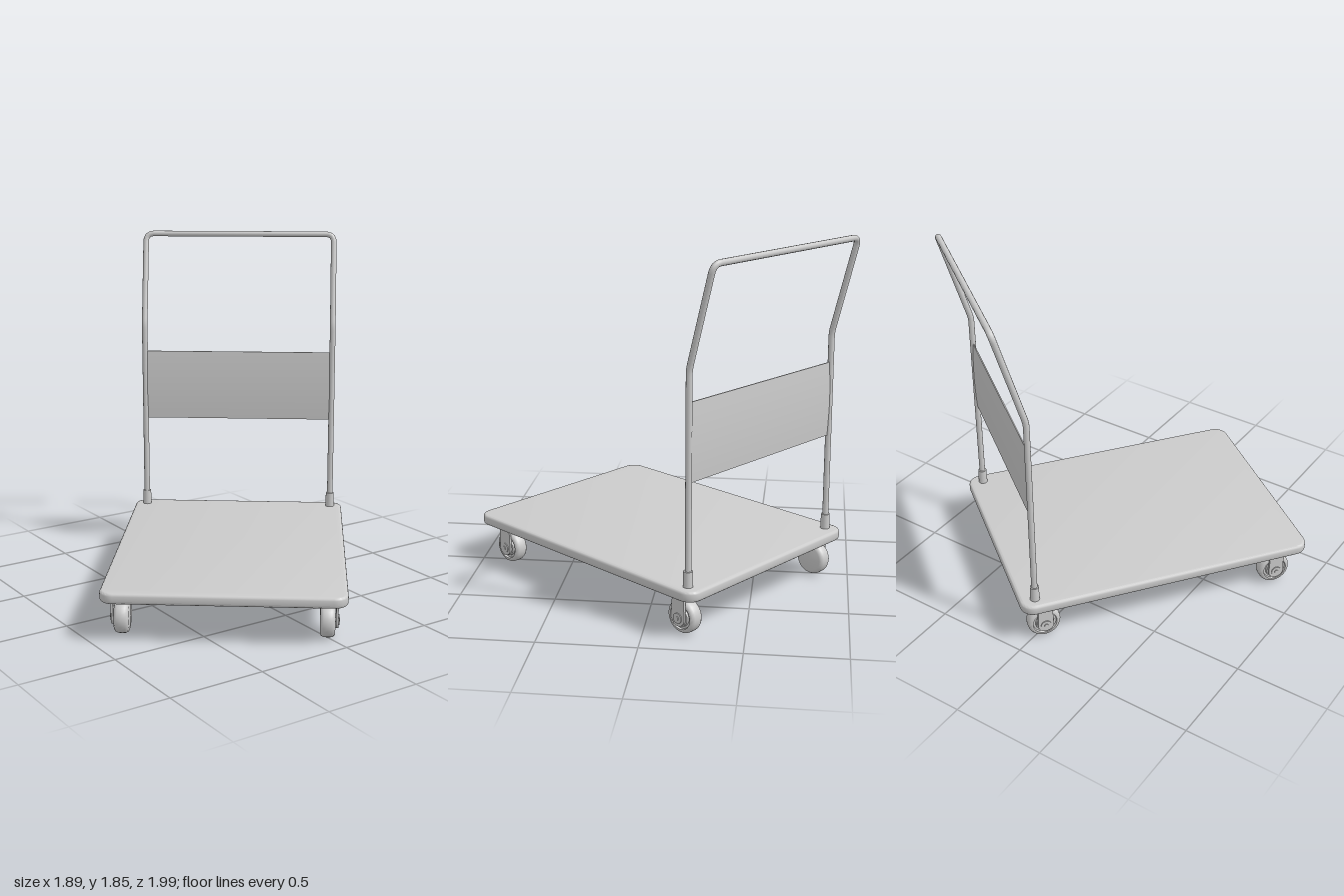
import * as THREE from 'three';
import { toCreasedNormals } from 'three/addons/utils/BufferGeometryUtils.js';

const material = new THREE.MeshStandardMaterial({ color: 0xcccccc });

function addMesh(parent, name, geometry, x = 0, y = 0, z = 0) {
  const mesh = new THREE.Mesh(geometry, material);
  mesh.name = name;
  mesh.position.set(x, y, z);
  parent.add(mesh);
  return mesh;
}

// Rounded rectangle outline
function roundedRect(a, b, r) {
  const s = new THREE.Shape();
  s.absarc(a - r, b - r, r, 0, Math.PI / 2);
  s.absarc(r - a, b - r, r, Math.PI / 2, Math.PI);
  s.absarc(r - a, r - b, r, Math.PI, Math.PI * 1.5);
  s.absarc(a - r, r - b, r, Math.PI * 1.5, Math.PI * 2);
  return s;
}

// Flat load bed with softened edges
function deckGeometry() {
  const bevel = 0.014, height = 0.055;
  const g = new THREE.ExtrudeGeometry(roundedRect(0.606, 0.796, 0.07), {
    depth: height - 2 * bevel, bevelThickness: bevel, bevelSize: bevel,
    bevelOffset: -bevel, bevelSegments: 3, curveSegments: 5,
  });
  g.rotateX(-Math.PI / 2).translate(0, 0.205 + bevel, 0);
  return toCreasedNormals(g, 0.7);
}

// Bent tube: straight posts, raked upper part, rounded top corners
function handleGeometry() {
  const w = 0.539, z0 = -0.717, z1 = -0.86;
  const v = (x, y, z) => new THREE.Vector3(x, y, z);
  const corners = [v(-w, 0.25, z0), v(-w, 1.33, z0), v(-w, 1.835, z1),
    v(w, 1.835, z1), v(w, 1.33, z0), v(w, 0.25, z0)];
  const path = new THREE.CurvePath();
  let from = corners[0];
  for (let i = 1; i < 5; i++) {
    const c = corners[i], r = c.y > 1.5 ? 0.045 : 0.025;
    const before = c.clone().add(corners[i - 1].clone().sub(c).setLength(r));
    const after = c.clone().add(corners[i + 1].clone().sub(c).setLength(r));
    path.add(new THREE.LineCurve3(from, before));
    path.add(new THREE.QuadraticBezierCurve3(before, c, after));
    from = after;
  }
  path.add(new THREE.LineCurve3(from, corners[5]));
  return new THREE.TubeGeometry(path, 240, 0.016, 12);
}

// Thin panel with gently bulging faces, spanning the posts
function panelGeometry() {
  const h = 0.197, s = new THREE.Shape();
  s.moveTo(-0.003, -h);
  s.quadraticCurveTo(-0.017, 0, -0.003, h);
  s.lineTo(0.003, h);
  s.quadraticCurveTo(0.017, 0, 0.003, -h);
  const g = new THREE.ExtrudeGeometry(s, { depth: 1.07, bevelEnabled: false, curveSegments: 12 });
  g.translate(0, 0, -0.535).rotateY(Math.PI / 2);
  return toCreasedNormals(g, 0.7);
}

// Wheel turned about x: plain inner face, recessed outer face (+x)
function wheelGeometry() {
  const profile = [[0, -0.037], [0.068, -0.037], [0.08, -0.032], [0.0865, -0.02], [0.0875, 0],
    [0.0865, 0.02], [0.08, 0.032], [0.07, 0.037], [0.064, 0.037], [0.061, 0.026], [0.05, 0.026],
    [0.048, 0.037], [0, 0.037]].map(([r, y]) => new THREE.Vector2(r, y));
  const g = new THREE.LatheGeometry(profile, 32).rotateZ(-Math.PI / 2);
  return toCreasedNormals(g, 0.7);
}

// Side arm with a rounded lower end, centred on the axle
function armGeometry() {
  const s = new THREE.Shape();
  s.moveTo(0.038, 0.118);
  s.lineTo(-0.038, 0.118);
  s.absarc(0, 0, 0.042, Math.PI, Math.PI * 2);
  const g = new THREE.ExtrudeGeometry(s, { depth: 0.012, bevelEnabled: false, curveSegments: 16 });
  return toCreasedNormals(g.rotateY(Math.PI / 2), 0.7);
}

// Caster with a single arm on its outer side (+x before turning)
function makeCaster() {
  const caster = new THREE.Group();
  caster.name = 'caster';
  addMesh(caster, 'wheel', wheelGeometry());
  addMesh(caster, 'casterArm', armGeometry(), 0.041);
  addMesh(caster, 'mountPlate', new THREE.BoxGeometry(0.07, 0.014, 0.09), 0.018, 0.111);
  const disc = (name, r, len, x) =>
    addMesh(caster, name, new THREE.CylinderGeometry(r, r, len, 20).rotateZ(Math.PI / 2), x);
  disc('hubCap', 0.027, 0.006, 0.055);
  disc('axle', 0.01, 0.03, 0.047);
  return caster;
}

export function createModel() {
  const model = new THREE.Group();
  model.name = 'platformTrolley';

  // The trolley stands turned on the ground
  const trolley = new THREE.Group();
  trolley.name = 'trolley';
  trolley.position.set(-0.015, 0, 0.025);
  trolley.rotation.y = -0.647;
  model.add(trolley);

  addMesh(trolley, 'deck', deckGeometry());
  addMesh(trolley, 'handle', handleGeometry());
  addMesh(trolley, 'backPanel', panelGeometry(), 0, 0.978, -0.717);

  for (const side of [-1, 1]) {
    addMesh(trolley, 'postSocket', new THREE.CylinderGeometry(0.023, 0.025, 0.085, 16),
      side * 0.539, 0.2975, -0.717);
    for (const z of [0.63, -0.67]) {
      const caster = makeCaster();
      caster.position.set(side * 0.508, 0.0875, z);
      if (side < 0) caster.rotation.y = Math.PI;
      trolley.add(caster);
    }
  }
  return model;
}
